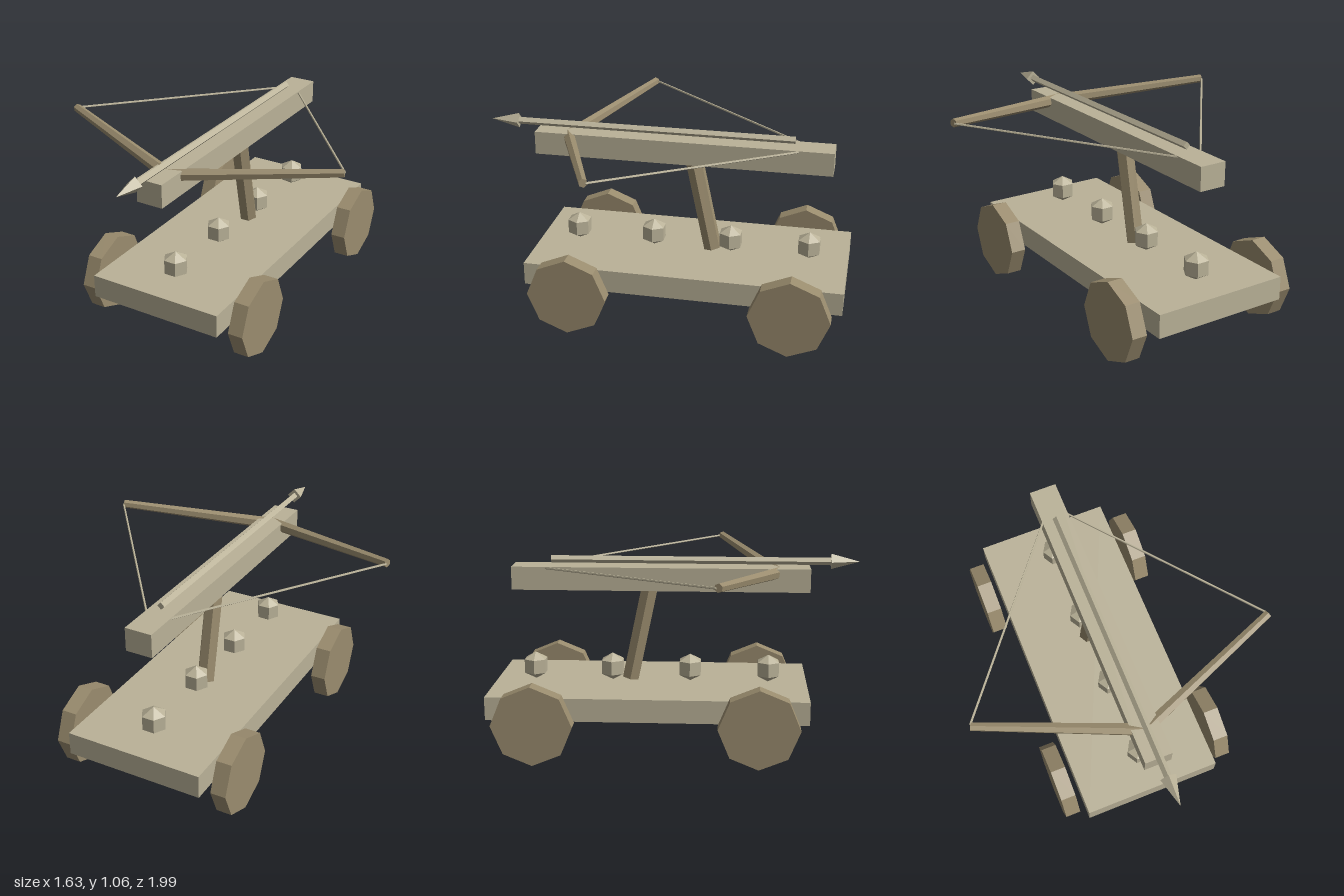
import * as THREE from 'three';

const paleWood = new THREE.MeshStandardMaterial({ color: 0xbab298, flatShading: true });
paleWood.name = 'paleWood';
const brownWood = new THREE.MeshStandardMaterial({ color: 0x9a8c6e, flatShading: true });
brownWood.name = 'brownWood';

export function createModel() {
  const model = new THREE.Group();
  model.name = 'ballista';

  const add = (name, geometry, material, x = 0, y = 0, z = 0) => {
    const mesh = new THREE.Mesh(geometry, material);
    mesh.name = name;
    mesh.position.set(x, y, z);
    model.add(mesh);
    return mesh;
  };

  // Tapered rod between two points
  const rod = (name, a, b, rA, rB, sides, material, twist = 0) => {
    const from = new THREE.Vector3(...a), to = new THREE.Vector3(...b);
    const dir = to.clone().sub(from);
    const geometry = new THREE.CylinderGeometry(rB, rA, dir.length(), sides).rotateY(twist);
    const mesh = add(name, geometry, material);
    mesh.position.copy(from).add(to).multiplyScalar(0.5);
    mesh.quaternion.setFromUnitVectors(new THREE.Vector3(0, 1, 0), dir.normalize());
    return mesh;
  };

  // Cart bed and slide
  add('bed', new THREE.BoxGeometry(0.755, 0.127, 1.725), paleWood, 0, 0.274, -0.135);
  add('slide', new THREE.BoxGeometry(0.147, 0.127, 1.62), paleWood, 0, 0.922, -0.08);

  // Leaning post under the slide
  rod('post', [0, 0.352, -0.25], [0, 0.9, -0.134], 0.05, 0.05, 6, brownWood, Math.PI / 2);

  // Octagonal wheels
  const wheel = new THREE.CylinderGeometry(0.216, 0.216, 0.083, 8).rotateZ(Math.PI / 2);
  for (const side of [1, -1]) {
    add('frontWheel', wheel, brownWood, side * 0.454, 0.217, 0.46);
    add('rearWheel', wheel, brownWood, side * 0.454, 0.217, -0.73);
  }

  // Row of shot along the bed
  const shot = new THREE.SphereGeometry(0.077, 6, 3);
  for (let i = 0; i < 4; i++) add('shot', shot, paleWood, 0, 0.415, 0.515 - i * 0.433);

  // Bow arms and string
  for (const side of [1, -1]) {
    rod('bowArm', [0, 0.952, 0.56], [side * 0.808, 1.031, 0.245], 0.034, 0.023, 6, brownWood);
    rod('bowString', [side * 0.806, 1.03, 0.235], [0, 0.974, -0.79], 0.006, 0.006, 5, paleWood);
  }

  // Bolt lying on the slide
  rod('boltShaft', [0, 1.018, -0.68], [0, 1.018, 0.84], 0.02, 0.02, 4, paleWood);
  add('boltHead', new THREE.ConeGeometry(0.042, 0.155, 4).rotateX(Math.PI / 2), paleWood, 0, 1.018, 0.9175);

  return model;
}
